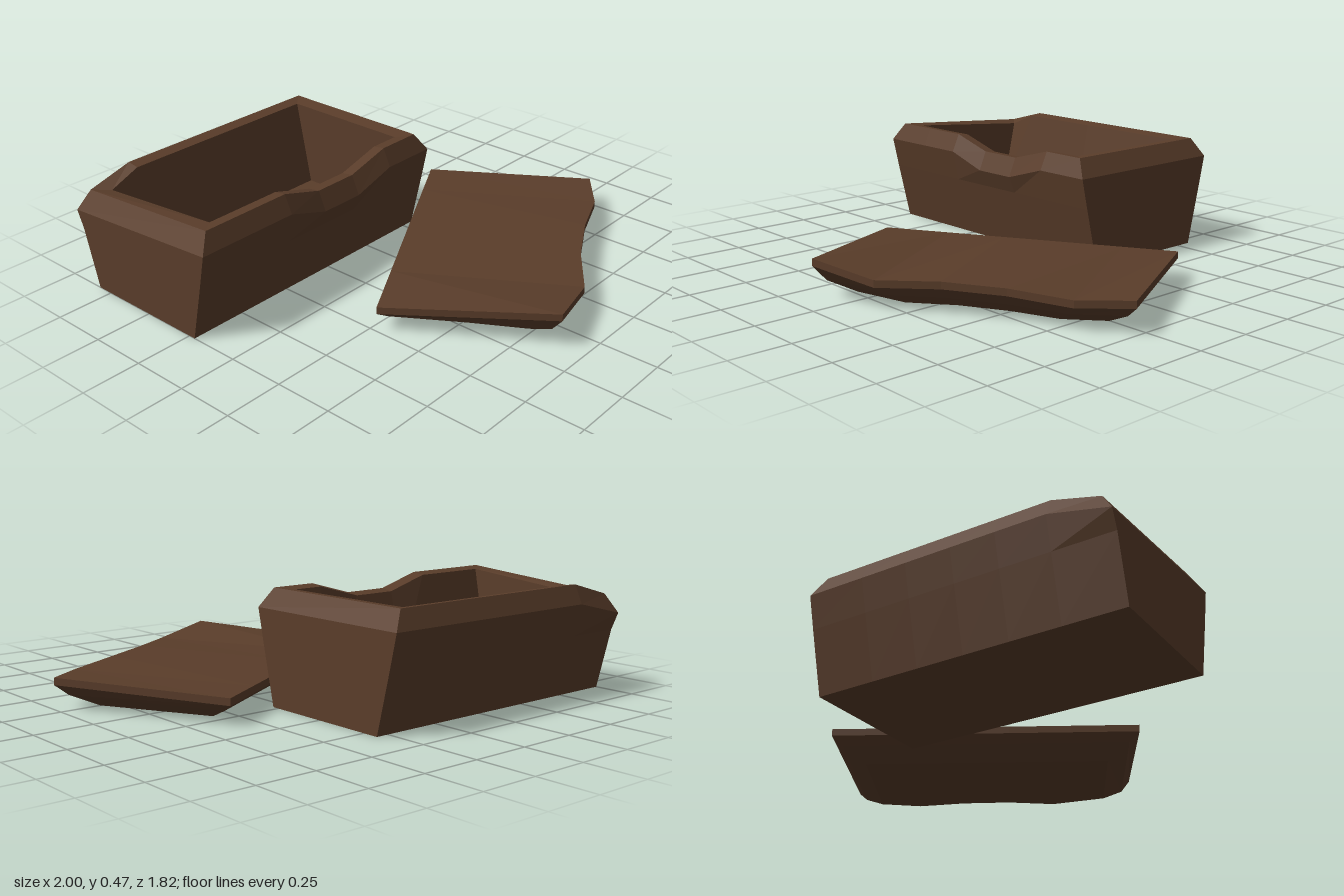
import * as THREE from 'three';

const wood = new THREE.MeshStandardMaterial({ color: 0x5a3d2a, flatShading: true });

// Skins a stack of rings. Each ring runs along the front from -x to +x,
// then back along the rear; the first and last rings are capped.
function loft(name, rings) {
  const count = rings[0].length;
  const index = [];
  const quad = (a, b, c, d) => index.push(a, b, c, a, c, d);
  for (let r = 0; r < rings.length - 1; r++) {
    for (let i = 0; i < count; i++) {
      const j = (i + 1) % count;
      const low = r * count, high = low + count;
      quad(low + i, low + j, high + j, high + i);
    }
  }
  const last = (rings.length - 1) * count;
  for (let i = 0; i < count / 2 - 1; i++) {
    const j = count - 1 - i;
    quad(j, j - 1, i + 1, i);
    quad(last + i, last + i + 1, last + j - 1, last + j);
  }
  const geometry = new THREE.BufferGeometry();
  geometry.setAttribute('position', new THREE.Float32BufferAttribute(rings.flat(2), 3));
  geometry.setIndex(index);
  const flat = geometry.toNonIndexed();
  flat.computeVertexNormals();
  const mesh = new THREE.Mesh(flat, wood);
  mesh.name = name;
  return mesh;
}

// Open trough with flared long sides, a worn dip in the front rim
// and one lowered rear corner
function createTrough() {
  const inner = [-0.4, -0.19, 0, 0.2, 0.4];
  const frontDrop = [0, 0, 0, 1, 1, 0, 0];
  const backDrop = [1, 0, 0, 0, 0, 0, 0];
  // half length, half depth, height, amount of wear
  const levels = [
    [0.6525, 0.30, 0, 0],
    [0.6525, 0.363, 0.26, 0],
    [0.6525, 0.394, 0.395, 0.06],
    [0.60, 0.358, 0.473, 0.055],
    [0.535, 0.303, 0.465, 0.055],
    [0.535, 0.23, 0.09, 0],
  ];
  const rings = levels.map(([hx, hz, y, wear]) => {
    const xs = [-hx, ...inner, hx];
    const front = xs.map((x, i) => [x, y - wear * frontDrop[i], hz]);
    const back = xs.map((x, i) => [x, y - wear * backDrop[i], -hz]);
    return [...front, ...back.reverse()];
  });
  const trough = loft('trough', rings);
  trough.position.set(-0.3475, 0, -0.52);
  return trough;
}

// Lid lying upside down in front, with an uneven front edge
function createLid() {
  const us = [-0.65, -0.36, -0.1, 0.16, 0.42, 0.64];
  const frontV = [0.36, 0.43, 0.4, 0.405, 0.437, 0.403];
  const frontY = [0.16, 0.12, 0.13, 0.13, 0.12, 0.13];
  const backY = 0.11;
  // inset from the outline, height above ground (or below the top face)
  const levels = [
    { inset: 0.13, y: () => 0 },
    { inset: 0.04, y: (top) => 0.05 + (top - 0.11) * 0.3 },
    { inset: 0, y: (top) => top - 0.03 },
    { inset: 0, y: (top) => top },
  ];
  const rings = levels.map(({ inset, y }) => {
    const k = 1 - inset / 0.65;
    const front = us.map((u, i) => [u * k, y(frontY[i]), frontV[i] - inset]);
    const back = us.map((u, i) => [(i === 5 ? 0.65 : u) * k, y(backY), -0.36 + inset]);
    return [...front, ...back.reverse()];
  });
  const lid = loft('lid', rings);
  lid.rotation.y = Math.PI / 6;
  lid.position.set(0.243, 0, 0.272);
  return lid;
}

export function createModel() {
  const model = new THREE.Group();
  model.name = 'troughWithLid';
  model.add(createTrough(), createLid());
  return model;
}
